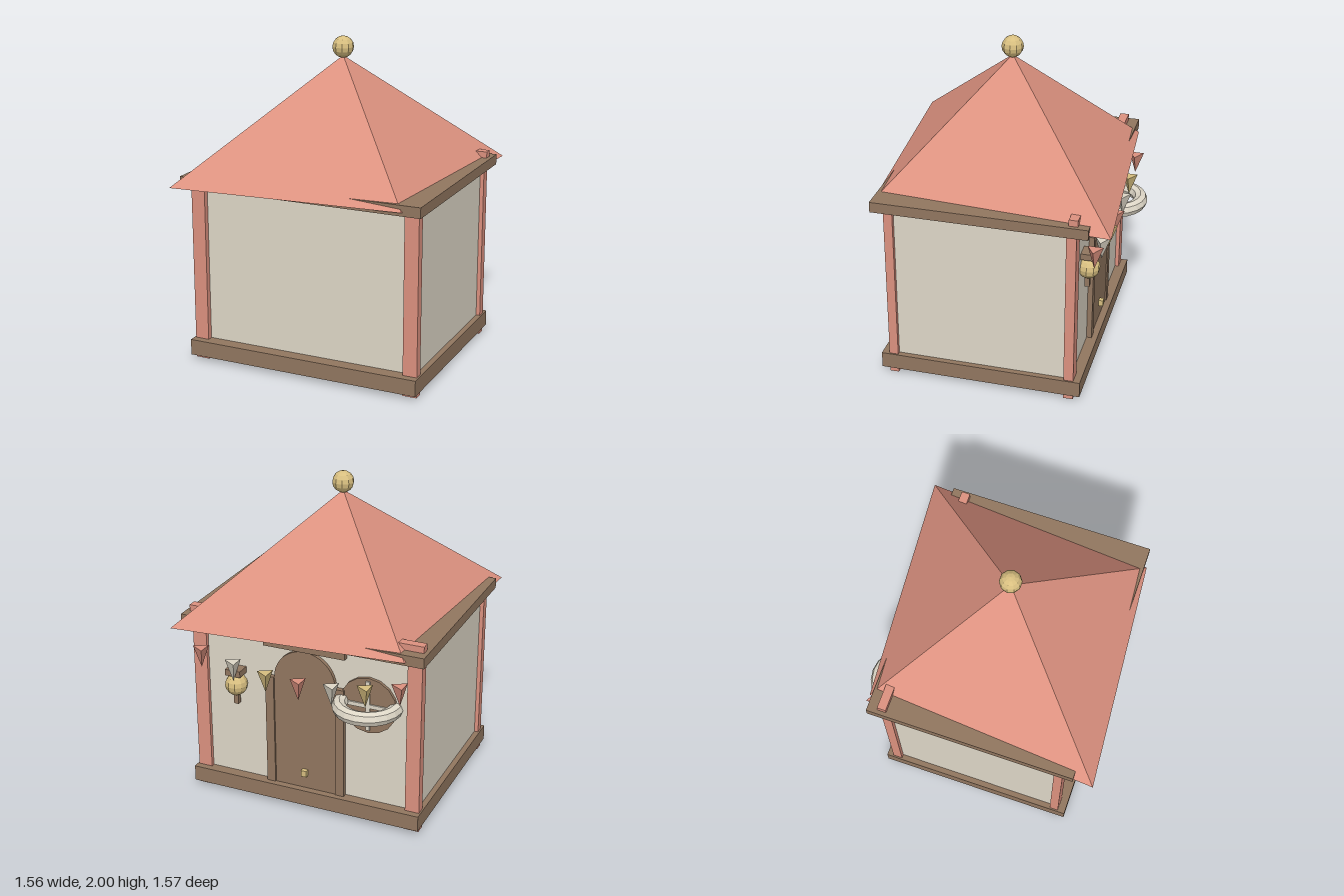
import * as THREE from 'three';

function flat(name, color) {
  const m = new THREE.MeshStandardMaterial({ color });
  m.name = name;
  m.flatShading = true;
  return m;
}

export function createModel() {
  const coral = flat('coral', 0xdd9280);
  const wood = flat('wood', 0x927760);
  const cream = flat('cream', 0xdfd8c8);
  const gold = flat('gold', 0xd8bf80);

  const model = new THREE.Group();
  model.name = 'beachHut';

  function add(name, geometry, material, x, y, z) {
    const mesh = new THREE.Mesh(geometry, material);
    mesh.name = name;
    mesh.position.set(x, y, z);
    model.add(mesh);
    return mesh;
  }
  const box = (name, mat, w, h, d, x, y, z) =>
    add(name, new THREE.BoxGeometry(w, h, d), mat, x, y, z);

  // Body, floor frame and eaves
  box('walls', cream, 1.44, 1.06, 1.1, 0, 0.62, 0);
  box('baseFrame', wood, 1.51, 0.1, 1.25, 0, 0.08, 0.008);
  box('floorPlate', cream, 1.48, 0.006, 1.22, 0, 0.028, 0.008);
  box('eaves', wood, 1.56, 0.065, 1.305, 0, 1.158, 0.003);
  box('backBeam', coral, 1.51, 0.08, 0.055, 0, 1.19, -0.557);

  // Corner posts
  for (const sx of [-1, 1]) {
    box('frontPost', coral, 0.09, 1.15, 0.055, sx * 0.7, 0.575, 0.558);
    box('backPost', coral, 0.09, 1.15, 0.06, sx * 0.7, 0.575, -0.545);
  }

  // Four-sided roof, stretched along one diagonal
  const roof = new THREE.ConeGeometry(1, 0.73, 4);
  roof.scale(1.103, 1, 0.948);
  roof.rotateY(Math.PI / 4);
  add('roof', roof, coral, 0, 1.515, 0);
  add('finial', new THREE.SphereGeometry(0.067, 10, 8), gold, 0, 1.933, 0);

  // Arched door with jambs, lintel and knob
  const arch = new THREE.Shape();
  arch.moveTo(-0.2, 0.13);
  arch.lineTo(0.2, 0.13);
  arch.lineTo(0.2, 0.85);
  arch.absarc(0, 0.85, 0.2, 0, Math.PI, false);
  arch.closePath();
  add('door', new THREE.ExtrudeGeometry(arch, { depth: 0.03, bevelEnabled: false, curveSegments: 12 }),
    wood, 0, 0, -0.574);
  for (const sx of [-1, 1]) box('doorJamb', wood, 0.055, 0.72, 0.04, sx * 0.23, 0.49, -0.562);
  box('doorLintel', wood, 0.53, 0.06, 0.04, 0, 1.08, -0.562);
  box('doorKnob', gold, 0.035, 0.04, 0.035, 0, 0.24, -0.585);

  // Round window with crossed bars
  const disc = new THREE.CylinderGeometry(0.18, 0.18, 0.03, 16);
  disc.rotateX(Math.PI / 2);
  add('window', disc, wood, -0.41, 0.78, -0.555);
  box('windowBarUpright', cream, 0.025, 0.32, 0.02, -0.41, 0.78, -0.57);
  box('windowBarLevel', cream, 0.32, 0.025, 0.02, -0.41, 0.78, -0.57);

  // Life ring lying half in the wall
  const ring = new THREE.TorusGeometry(0.17, 0.045, 8, 20);
  ring.rotateX(Math.PI / 2);
  add('lifeRing', ring, cream, -0.41, 0.782, -0.572);

  // Wall lantern
  add('lanternGlobe', new THREE.SphereGeometry(0.07, 10, 8), gold, 0.45, 0.76, -0.59);
  box('lanternCap', wood, 0.1, 0.04, 0.1, 0.45, 0.85, -0.587);
  box('lanternStem', wood, 0.03, 0.1, 0.03, 0.45, 0.68, -0.585);

  // Sagging row of three-sided pennants
  const pennant = new THREE.ConeGeometry(0.055, 0.13, 3, 1, false, -Math.PI / 2);
  pennant.rotateZ(Math.PI);
  const colours = [coral, cream, gold];
  for (let i = 0; i < 7; i++) {
    const t = 1 - i / 3;
    add('pennant', pennant, colours[i % 3], t * 0.645, 0.84 + 0.095 * t * t, -0.662);
  }

  return model;
}
